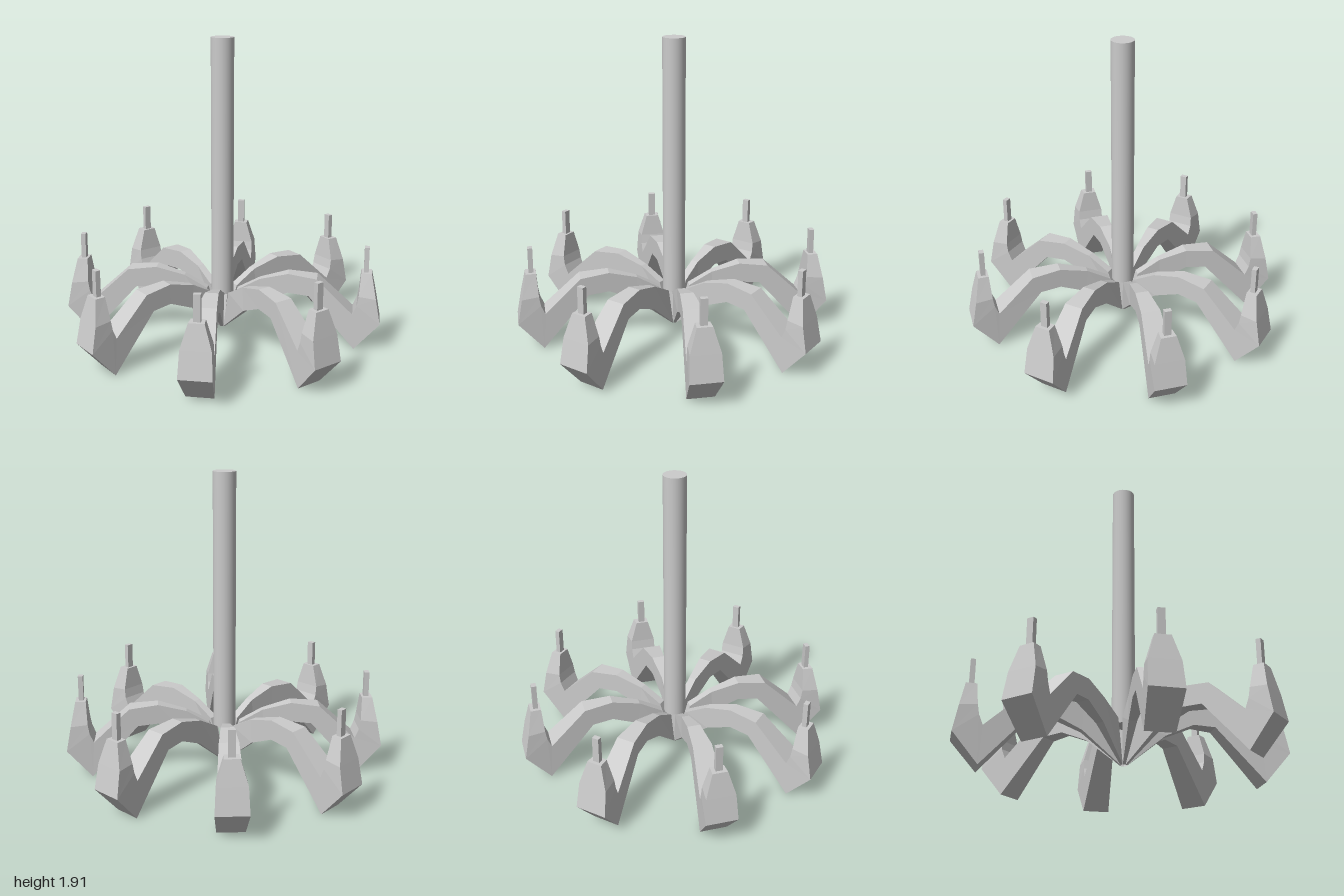
import * as THREE from 'three';

const flat = new THREE.MeshStandardMaterial({ color: 0xcccccc, flatShading: true });
const smooth = new THREE.MeshStandardMaterial({ color: 0xcccccc });

// Four-sided loft along +x. Each section: [upper r, y, half width, lower r, y, half width]
function loft(sections) {
  const rings = sections.map(([rt, yt, wt, rb, yb, wb]) => [
    [rt, yt, -wt], [rt, yt, wt], [rb, yb, wb], [rb, yb, -wb],
  ]);
  const pos = [];
  const quad = (a, b, c, d) => pos.push(...a, ...b, ...c, ...a, ...c, ...d);
  for (let i = 0; i < rings.length - 1; i++) {
    for (let k = 0; k < 4; k++) {
      const n = (k + 1) % 4;
      quad(rings[i][k], rings[i][n], rings[i + 1][n], rings[i + 1][k]);
    }
  }
  const first = rings[0], last = rings[rings.length - 1];
  quad(first[0], first[3], first[2], first[1]);
  quad(...last);
  const geo = new THREE.BufferGeometry();
  geo.setAttribute('position', new THREE.Float32BufferAttribute(pos, 3));
  geo.computeVertexNormals();
  return geo;
}

export function createModel() {
  const model = new THREE.Group();
  model.name = 'chandelier';

  // Central hanging pole
  const bottom = 0.31, top = 1.915;
  const pole = new THREE.Mesh(new THREE.CylinderGeometry(0.07, 0.07, top - bottom, 32), smooth);
  pole.name = 'pole';
  pole.position.y = (top + bottom) / 2;
  model.add(pole);

  // Arched arm that widens outwards and turns up into a tapered cup
  const armGeo = loft([
    [0.095, 0.33, 0.026, 0.02, 0.07, 0.008],
    [0.24, 0.41, 0.024, 0.25, 0.26, 0.025],
    [0.42, 0.46, 0.041, 0.42, 0.335, 0.041],
    [0.60, 0.44, 0.059, 0.55, 0.325, 0.054],
    [0.825, 0.23, 0.081, 0.84, 0, 0.083],
    [0.85, 0.29, 0.084, 0.995, 0.18, 0.098],
    [0.86, 0.35, 0.082, 0.965, 0.34, 0.09],
    [0.87, 0.49, 0.042, 0.935, 0.49, 0.046],
  ]);
  const candleGeo = new THREE.BoxGeometry(0.03, 0.18, 0.042);

  // Eight arms, each filling a narrow wedge that starts on its 45 degree line
  const count = 8;
  for (let i = 0; i < count; i++) {
    const arm = new THREE.Group();
    arm.name = 'arm' + (i + 1);
    const body = new THREE.Mesh(armGeo, flat);
    body.name = 'armAndCup';
    const candle = new THREE.Mesh(candleGeo, flat);
    candle.name = 'candle';
    candle.position.set(0.9, 0.56, 0);
    arm.add(body, candle);
    arm.rotation.y = -Math.PI / 32 - (i / count) * Math.PI * 2;
    model.add(arm);
  }
  return model;
}
